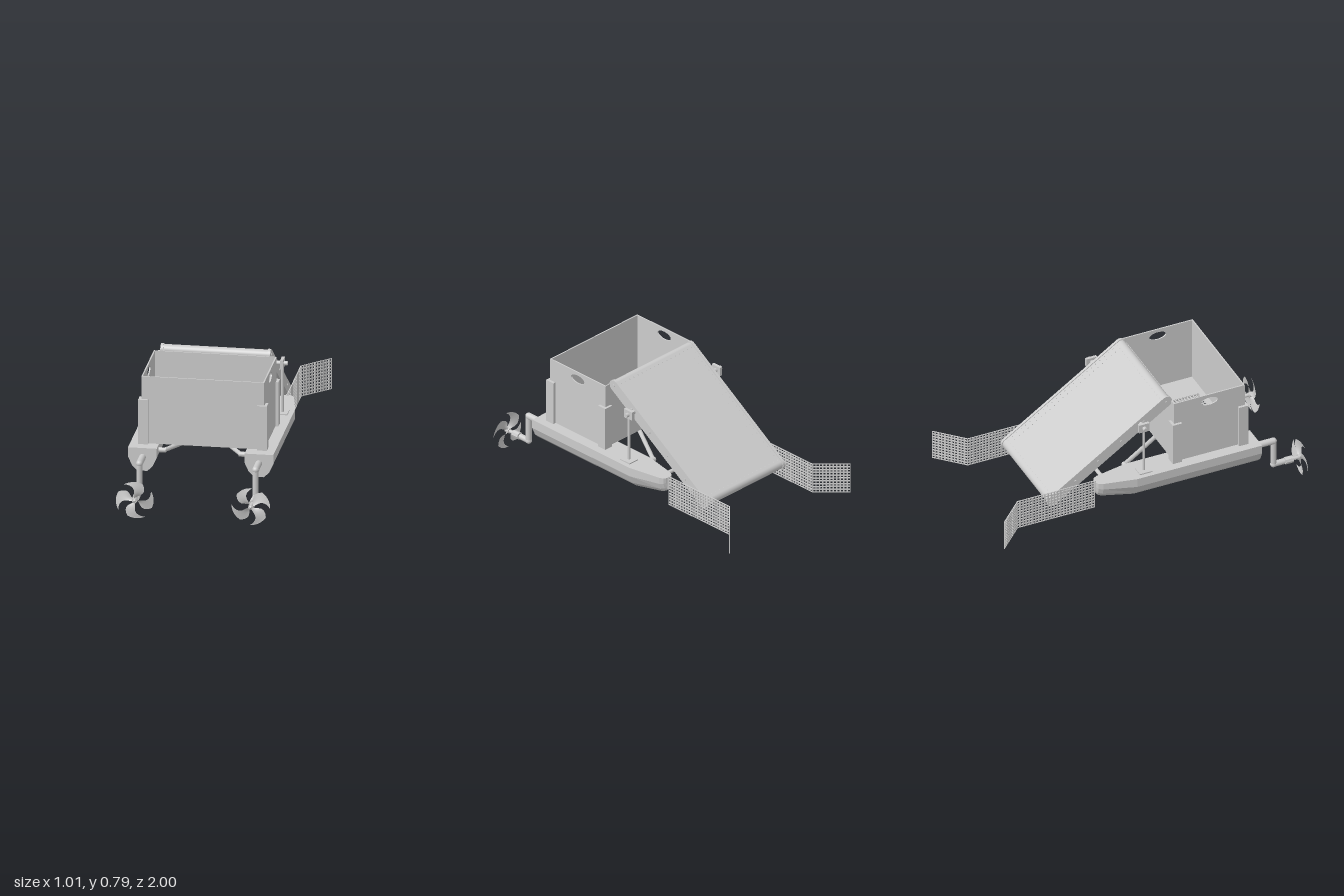
import * as THREE from 'three';

const mat = new THREE.MeshStandardMaterial({ color: 0xcccccc, side: THREE.DoubleSide });
const flat = new THREE.MeshStandardMaterial({ color: 0xcccccc, side: THREE.DoubleSide, flatShading: true });

function add(parent, name, geo, x = 0, y = 0, z = 0, material = mat) {
  const m = new THREE.Mesh(geo, material);
  m.name = name;
  m.position.set(x, y, z);
  parent.add(m);
  return m;
}
const box = (w, h, d) => new THREE.BoxGeometry(w, h, d);
const cylX = (r, l, n = 16) => new THREE.CylinderGeometry(r, r, l, n).rotateZ(Math.PI / 2);
const cylZ = (r, l, n = 16) => new THREE.CylinderGeometry(r, r, l, n).rotateX(Math.PI / 2);

// Straight round bar between two points
function bar(parent, name, a, b, r) {
  const p = new THREE.Vector3(...a), q = new THREE.Vector3(...b), d = q.clone().sub(p);
  const m = add(parent, name, new THREE.CylinderGeometry(r, r, d.length(), 12));
  m.position.copy(p).add(q).multiplyScalar(0.5);
  m.quaternion.setFromUnitVectors(new THREE.Vector3(0, 1, 0), d.normalize());
  return m;
}

function rectShape(w, h) {
  return new THREE.Shape([[-w, -h], [w, -h], [w, h], [-w, h]].map(p => new THREE.Vector2(p[0] / 2, p[1] / 2)));
}

// Rectangle in XY with a regular grid of square holes
function perforated(w, h, nx, ny, hole) {
  const s = rectShape(w, h), r = hole / 2;
  for (let i = 0; i < nx; i++) for (let j = 0; j < ny; j++) {
    const x = ((i + 0.5) / nx - 0.5) * w, y = ((j + 0.5) / ny - 0.5) * h;
    s.holes.push(new THREE.Path([[-r, -r], [-r, r], [r, r], [r, -r]].map(p => new THREE.Vector2(x + p[0], y + p[1]))));
  }
  return s;
}
const extrude = (s, depth) =>
  new THREE.ExtrudeGeometry(s, { depth, bevelEnabled: false, curveSegments: 16 }).translate(0, 0, -depth / 2);

// Hull lofted from stations: z, half width, bottom height
function hullGeometry() {
  const top = 0.34;
  const stations = [[0.69, 0.085, 0.2], [-0.11, 0.085, 0.2], [-0.31, 0.046, 0.238], [-0.335, 0.034, 0.25], [-0.345, 0.018, 0.265]];
  const section = [[-1, 1], [-1, 0.6], [-0.72, 0.22], [-0.35, 0], [0.35, 0], [0.72, 0.22], [1, 0.6], [1, 1]];
  const n = section.length, pos = [], idx = [];
  for (const [z, w, b] of stations) for (const [u, v] of section) pos.push(u * w, b + v * (top - b), z);
  for (let s = 0; s < stations.length - 1; s++) for (let i = 0; i < n; i++) {
    const a = s * n + i, b = s * n + (i + 1) % n;
    idx.push(a, a + n, b, b, a + n, b + n);
  }
  const e = (stations.length - 1) * n;
  for (let i = 1; i < n - 1; i++) idx.push(0, i, i + 1, e, e + i + 1, e + i);
  const g = new THREE.BufferGeometry();
  g.setAttribute('position', new THREE.Float32BufferAttribute(pos, 3));
  g.setIndex(idx);
  const out = g.toNonIndexed();
  out.computeVertexNormals();
  return out;
}

// Swept, pitched propeller blade; dir sets the handedness
function bladeGeometry(dir) {
  const g = new THREE.PlaneGeometry(1, 1, 8, 10), p = g.attributes.position;
  const lerp = THREE.MathUtils.lerp;
  for (let i = 0; i < p.count; i++) {
    const t = p.getX(i) + 0.5, u = p.getY(i) + 0.5;
    const a0 = -0.4 - 0.5 * Math.sin(u * Math.PI) * (1 - 0.3 * u);
    const a1 = 0.25 + 0.36 * u * u - 0.25 * Math.sin(u * Math.PI);
    const a = dir * lerp(a0, a1, t), r = 0.012 + (0.103 - 0.006 * (1 - t)) * u;
    p.setXYZ(i, r * Math.cos(a), r * Math.sin(a), (t - 0.5) * lerp(0.02, 0.012, u));
  }
  g.computeVertexNormals();
  return g;
}

function buildDrive(s) {
  const g = new THREE.Group();
  g.name = 'driveUnit';
  g.position.x = s * 0.343;
  add(g, 'upperPipe', cylZ(0.02, 0.14), 0, 0.284, 0.735);
  add(g, 'upperElbow', new THREE.SphereGeometry(0.02, 16, 12), 0, 0.284, 0.803);
  add(g, 'downPipe', new THREE.CylinderGeometry(0.018, 0.018, 0.165, 16), 0, 0.2, 0.803);
  add(g, 'lowerElbow', new THREE.SphereGeometry(0.02, 16, 12), 0, 0.118, 0.803);
  add(g, 'lowerPipe', cylZ(0.018, 0.07), 0, 0.118, 0.835);
  add(g, 'motorHousing', cylZ(0.022, 0.05, 8), 0, 0.118, 0.9, flat);
  add(g, 'shaft', cylZ(0.01, 0.14), 0, 0.118, 0.92);
  const prop = new THREE.Group();
  prop.name = 'propeller';
  prop.position.set(0, 0.118, 0.973);
  prop.rotation.z = s < 0 ? -1.6 : -1.05;
  g.add(prop);
  add(prop, 'hub', cylZ(0.015, 0.03));
  add(prop, 'hubNose', new THREE.ConeGeometry(0.012, 0.012, 16).rotateX(Math.PI / 2), 0, 0, 0.02);
  for (let i = 0; i < 4; i++) add(prop, 'blade', bladeGeometry(-s)).rotation.z = i * Math.PI / 2;
  return g;
}

function buildCrate() {
  const g = new THREE.Group();
  g.name = 'crate';
  const W = 0.725, z0 = 0.155, z1 = 0.61, y0 = 0.342, H = 0.413, t = 0.008, zc = (z0 + z1) / 2, D = z1 - z0;
  for (const z of [z0 + t / 2, z1 - t / 2]) add(g, 'endWall', box(W, H, t), 0, y0 + H / 2, z);
  for (const s of [-1, 1]) {
    const wall = rectShape(D - 2 * t, H);
    wall.holes.push(new THREE.Path().absellipse(0, 0.16, 0.054, 0.026, 0, Math.PI * 2, true));
    add(g, 'sideWall', extrude(wall, t).rotateY(Math.PI / 2), s * (W - t) / 2, y0 + H / 2, zc);
    // Angle brackets at the corners
    for (const [z, d] of [[z1 + 0.015, -1], [z0 - 0.015, 1]]) {
      add(g, 'bracketSide', box(0.016, 0.275, 0.06), s * 0.3715, 0.477, z + d * 0.03);
      add(g, 'bracketEnd', box(0.058, 0.275, 0.016), s * 0.351, 0.477, z + d * 0.008);
    }
  }
  // Floor with a mesh drain panel
  const floor = rectShape(W, D);
  floor.holes.push(new THREE.Path([[-0.187, -0.185], [-0.187, 0.19], [0.187, 0.19], [0.187, -0.185]].map(p => new THREE.Vector2(...p))));
  add(g, 'floor', extrude(floor, t).rotateX(-Math.PI / 2), 0, y0 + t / 2, zc);
  add(g, 'drainMesh', extrude(perforated(0.375, 0.376, 20, 20, 0.0125), 0.005).rotateX(-Math.PI / 2), 0, y0 + 0.003, zc - 0.002);
  return g;
}

function buildConveyor() {
  const g = new THREE.Group();
  g.name = 'conveyor';
  const dy = 0.49, dz = 0.73, L = Math.hypot(dy, dz), r = 0.035, rb = 0.03;
  g.position.set(0, 0.51, -0.24);
  g.rotation.x = -Math.atan2(dy, dz);
  const side = new THREE.Shape();
  side.absarc(L / 2, 0, r, -Math.PI / 2, Math.PI / 2);
  side.absarc(-L / 2, 0, r, Math.PI / 2, Math.PI * 1.5);
  for (const s of [-1, 1]) {
    add(g, 'sidePlate', extrude(side, 0.017).rotateY(-Math.PI / 2), s * 0.316, 0, 0);
    for (let i = 0; i < 6; i++) add(g, 'bolt', cylX(0.008, 0.006, 10), s * 0.326, 0, (i / 5 - 0.5) * L);
  }
  // Perforated belt wrapped around two rollers
  const belt = new THREE.ShapeGeometry(perforated(0.616, L, 18, 26, 0.005)).rotateX(-Math.PI / 2);
  add(g, 'beltTop', belt, 0, rb, 0);
  add(g, 'beltBottom', new THREE.PlaneGeometry(0.616, L).rotateX(Math.PI / 2), 0, -rb, 0);
  for (const s of [-1, 1]) add(g, 'roller', cylX(rb, 0.616, 32), 0, 0, s * L / 2);
  return g;
}

export function createModel() {
  const root = new THREE.Group();
  root.name = 'cleanupBoat';
  for (const s of [-1, 1]) {
    add(root, 'hull', hullGeometry(), s * 0.344, 0, 0, flat);
    root.add(buildDrive(s));

    // Conveyor support post with clamp and pin
    add(root, 'postBase', box(0.07, 0.008, 0.08), s * 0.365, 0.343, -0.04);
    add(root, 'post', new THREE.CylinderGeometry(0.008, 0.008, 0.31, 12), s * 0.365, 0.495, -0.04);
    add(root, 'clamp', box(0.018, 0.055, 0.068), s * 0.365, 0.648, -0.04);
    add(root, 'pin', cylX(0.013, 0.075), s * 0.358, 0.648, -0.04);

    // Mesh guide wing: straight run, then flared tip
    const y = 0.251;
    add(root, 'wingMesh', extrude(perforated(0.5, 0.19, 25, 10, 0.0125), 0.006).rotateY(Math.PI / 2), s * 0.345, y, -0.595);
    const tip = add(root, 'wingTip', extrude(perforated(0.222, 0.19, 11, 10, 0.0125), 0.006), s * 0.4235, y, -0.92);
    tip.rotation.y = s * Math.PI / 4;
    add(root, 'wingHinge', new THREE.CylinderGeometry(0.008, 0.008, 0.08, 12), s * 0.345, 0.305, -0.345);

    // Diagonal brace with end stubs into the hulls
    bar(root, 'diagonalBrace', [s * 0.225, 0.31, 0.62], [-s * 0.225, 0.31, -0.1], 0.013);
    for (const z of [0.62, -0.1]) add(root, 'braceStub', cylX(0.015, 0.06), s * 0.245, 0.31, z);
  }
  add(root, 'bowCrossbar', cylX(0.012, 0.62), 0, 0.31, -0.27);
  root.add(buildCrate(), buildConveyor());
  return root;
}
